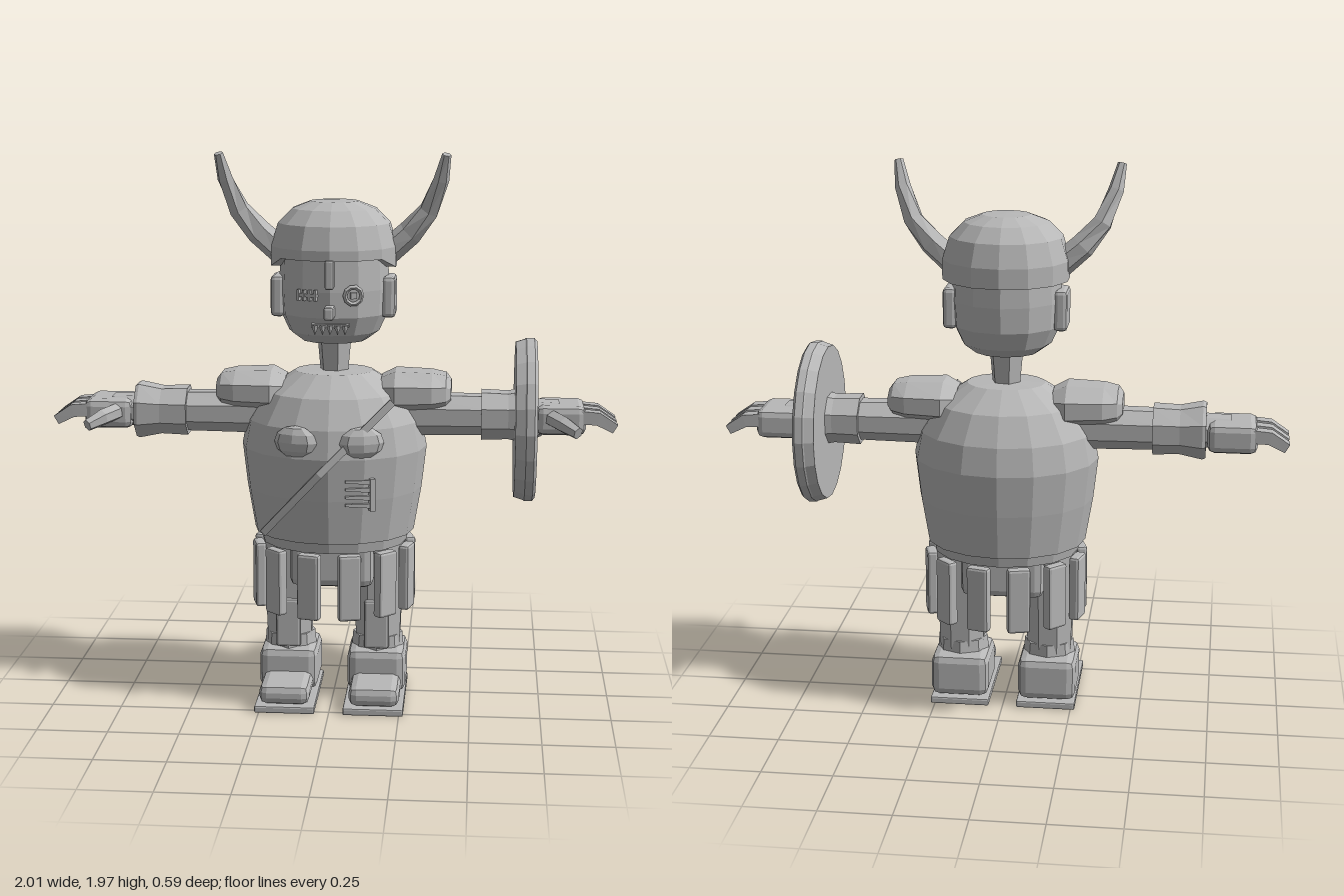
import * as THREE from 'three';
import { RoundedBoxGeometry } from 'three/addons/geometries/RoundedBoxGeometry.js';

export function createModel() {
  const model = new THREE.Group();
  model.name = 'hornedWarrior';
  const clay = new THREE.MeshStandardMaterial({ color: 0xb8b8b8 });
  clay.name = 'plain grey';

  // Adds a faceted mesh
  function add(name, geometry, x = 0, y = 0, z = 0, rx = 0, ry = 0, rz = 0) {
    const g = geometry.index ? geometry.toNonIndexed() : geometry;
    g.computeVertexNormals();
    const mesh = new THREE.Mesh(g, clay);
    mesh.name = name;
    mesh.position.set(x, y, z);
    mesh.rotation.set(rx, ry, rz);
    model.add(mesh);
    return mesh;
  }
  const box = (w, h, d) => new THREE.BoxGeometry(w, h, d);
  const bevelBox = (w, h, d, r) => new RoundedBoxGeometry(w, h, d, 1, r);
  const lathe = (profile, sides) =>
    new THREE.LatheGeometry(profile.map(([r, y]) => new THREE.Vector2(r, y)), sides);

  // Capped loft along stations [x, y, z, a, b]; a lies across up, b towards up
  function loft(stations, sides, up = new THREE.Vector3(0, 1, 0)) {
    const centres = stations.map(([x, y, z]) => new THREE.Vector3(x, y, z));
    const last = centres.length - 1;
    const rings = stations.map(([, , , a, b = a], i) => {
      const t = centres[Math.min(i + 1, last)].clone().sub(centres[Math.max(i - 1, 0)]).normalize();
      const u = up.clone().cross(t).normalize();
      const v = t.clone().cross(u);
      return Array.from({ length: sides }, (_, j) => {
        const q = ((j + 0.5) / sides) * Math.PI * 2;
        return centres[i].clone().addScaledVector(u, a * Math.cos(q)).addScaledVector(v, b * Math.sin(q));
      });
    });
    const points = [];
    for (let j = 0; j < sides; j++) {
      const k = (j + 1) % sides;
      for (let i = 0; i < last; i++) {
        points.push(rings[i][j], rings[i][k], rings[i + 1][k]);
        points.push(rings[i][j], rings[i + 1][k], rings[i + 1][j]);
      }
      points.push(centres[0], rings[0][k], rings[0][j]);
      points.push(centres[last], rings[last][j], rings[last][k]);
    }
    return new THREE.BufferGeometry().setFromPoints(points);
  }

  // Torso, hips and neck
  const torso = lathe([[0, 0.57], [0.262, 0.58], [0.27, 0.62], [0.288, 0.62], [0.315, 0.78],
    [0.332, 0.93], [0.312, 1.03], [0.25, 1.13], [0.14, 1.2], [0, 1.205]], 16);
  torso.scale(1, 1, 0.87);
  add('torso', torso);
  add('hips', bevelBox(0.3, 0.2, 0.3, 0.03), 0, 0.53, 0);
  add('neck', new THREE.CylinderGeometry(0.065, 0.05, 0.16, 6), 0, 1.26, 0, 0, 0.3, 0);

  // Chest details
  for (const s of [-1, 1]) {
    const chest = new THREE.SphereGeometry(1, 8, 6);
    chest.scale(0.08, 0.058, 0.035);
    add('chestPlate', chest, s * 0.115, 0.987, 0.25, 0, s * 0.3, 0);
  }
  add('chestStrap', loft([[-0.23, 0.66, 0.25, 0.018, 0.014], [-0.03, 0.88, 0.29, 0.018, 0.014],
    [0.22, 1.13, 0.235, 0.018, 0.014]], 4, new THREE.Vector3(0, 0, 1)));
  for (let i = 0; i < 4; i++) {
    const y = 0.765 + i * 0.028;
    add('rib', loft([[0.06, y + 0.005, 0.275, 0.006], [0.16, y, 0.25, 0.012]], 4));
  }
  add('ribPost', box(0.018, 0.115, 0.02), 0.152, 0.805, 0.255, 0, 0.4, 0);

  // Skirt of hanging plates
  for (let i = 0; i < 12; i++) {
    const a = ((i + 0.5) / 12) * Math.PI * 2;
    add('skirtPlate', bevelBox(0.082, 0.24, 0.04, 0.01), 0.275 * Math.sin(a), 0.46, 0.24 * Math.cos(a), 0, a, 0);
  }

  // Head and helmet
  const head = lathe([[0, 1.305], [0.115, 1.312], [0.16, 1.345], [0.19, 1.41], [0.195, 1.5], [0.19, 1.62]], 12);
  head.scale(1, 1, 0.95);
  add('head', head, 0, 0, 0.01);
  const helmet = lathe([[0.19, 1.575], [0.225, 1.575], [0.225, 1.645], [0.2, 1.725], [0.15, 1.775],
    [0.085, 1.8], [0, 1.803]], 14);
  helmet.scale(1, 1, 0.96);
  const hp = helmet.attributes.position;
  for (let i = 0; i < hp.count; i++) {
    if (hp.getY(i) < 1.58 && hp.getZ(i) > 0.08) hp.setY(i, 1.61);
  }
  add('helmet', helmet);

  // Face
  add('browBar', bevelBox(0.03, 0.1, 0.05, 0.006), 0, 1.565, 0.205);
  add('nose', bevelBox(0.035, 0.045, 0.07, 0.008), 0, 1.435, 0.22);
  add('eyeRing', new THREE.TorusGeometry(0.03, 0.008, 4, 10), 0.08, 1.49, 0.18, 0, 0.3, 0);
  add('pupil', box(0.022, 0.022, 0.02), 0.08, 1.49, 0.178, 0, 0.3, 0);
  add('closedEye', box(0.075, 0.012, 0.02), -0.08, 1.49, 0.178, 0, -0.3, 0);
  for (let i = 0; i < 4; i++) {
    add('eyeStitch', box(0.008, 0.038, 0.02), -0.11 + i * 0.02, 1.49, 0.172 + i * 0.006, 0, -0.3, 0);
  }
  add('mouth', box(0.13, 0.012, 0.03), 0, 1.385, 0.178);
  for (let i = 0; i < 5; i++) {
    add('tooth', new THREE.ConeGeometry(0.014, 0.035, 4), -0.052 + i * 0.026, 1.37, 0.19, Math.PI, 0, 0);
  }

  // Paired parts
  for (const s of [-1, 1]) {
    const limb = (name, stations, sides) =>
      add(name, loft(stations.map(([x, ...rest]) => [s * x, ...rest]), sides));

    add('ear', bevelBox(0.05, 0.145, 0.13, 0.015), s * 0.195, 1.47, 0.01);
    limb('horn', [[0.19, 1.625, 0.01, 0.047], [0.265, 1.69, 0.015, 0.045], [0.332, 1.77, 0.03, 0.037],
      [0.375, 1.88, 0.07, 0.028], [0.393, 1.968, 0.1, 0.016]], 6);

    // Shoulder and arm
    limb('shoulderPad', [[0.17, 1.13, 0, 0.1, 0.055], [0.22, 1.13, 0, 0.145, 0.08], [0.35, 1.13, 0, 0.13, 0.075],
      [0.4, 1.13, 0, 0.1, 0.065], [0.418, 1.13, 0, 0.07, 0.04]], 8);
    limb('upperArm', [[0.25, 1.045, 0, 0.085, 0.08], [0.55, 1.045, 0, 0.082, 0.075]], 8);
    limb('forearmCuff', [[0.525, 1.045, 0, 0.1, 0.092], [0.62, 1.045, 0, 0.096, 0.088],
      [0.7, 1.045, 0, 0.105, 0.105], [0.712, 1.045, 0, 0.1, 0.1]], 8);
    limb('wrist', [[0.7, 1.045, 0, 0.088, 0.06], [0.8, 1.045, 0, 0.085, 0.055]], 8);
    add('palm', bevelBox(0.175, 0.105, 0.2, 0.025), s * 0.805, 1.04, -0.01);
    for (const z of [-0.08, -0.01, 0.06]) {
      limb('finger', [[0.86, 1.055, z, 0.034, 0.034], [0.935, 1.05, z, 0.033, 0.032],
        [0.995, 1.015, z, 0.03, 0.024]], 4);
    }
    limb('thumb', [[0.775, 1.05, 0.08, 0.03], [0.815, 1.04, 0.14, 0.03], [0.86, 1.02, 0.185, 0.022]], 6);

    // Leg and boot
    const leg = new THREE.CylinderGeometry(0.1, 0.085, 0.42, 8);
    leg.rotateY(Math.PI / 8);
    add('leg', leg, s * 0.162, 0.39, 0);
    add('shinGuard', bevelBox(0.09, 0.18, 0.03, 0.01), s * 0.16, 0.28, 0.085);
    add('bootAnkle', new THREE.CylinderGeometry(0.09, 0.095, 0.06, 8), s * 0.16, 0.2, 0);
    add('boot', bevelBox(0.21, 0.16, 0.235, 0.03), s * 0.16, 0.107, -0.007);
    add('bootToe', bevelBox(0.18, 0.075, 0.2, 0.028), s * 0.16, 0.063, 0.17);
    add('sole', bevelBox(0.215, 0.026, 0.41, 0.006), s * 0.158, 0.013, 0.073);
  }

  // Round shield on the left forearm
  const shieldY = 1.03;
  const outward = -Math.PI / 2;
  add('shield', lathe([[0, 0.643], [0.278, 0.643], [0.288, 0.675], [0.292, 0.68], [0.292, 0.708], [0.28, 0.718],
    [0.262, 0.715], [0.257, 0.69], [0, 0.69]], 20), 0, shieldY, 0, 0, 0, outward);
  add('shieldBoss', new THREE.CylinderGeometry(0.06, 0.085, 0.055, 8), 0.713, shieldY, 0, 0, 0, outward);
  for (let i = 0; i < 4; i++) {
    const a = 0.36 + (i * Math.PI) / 2;
    add('shieldRivet', box(0.02, 0.036, 0.036), 0.695, shieldY + 0.16 * Math.cos(a), 0.16 * Math.sin(a));
  }
  return model;
}
